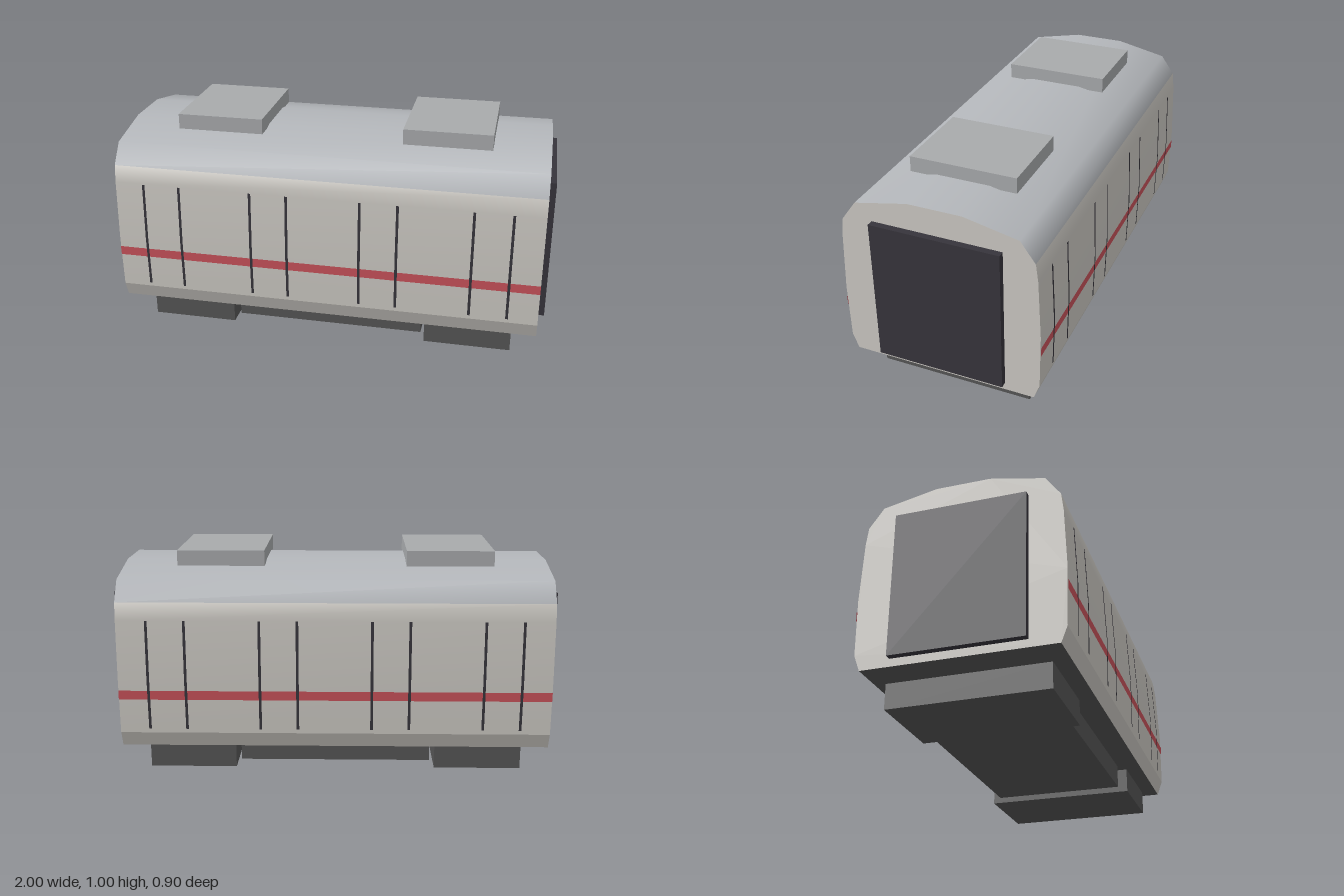
import * as THREE from 'three';

const mat = (name, color, side = THREE.FrontSide) => {
  const m = new THREE.MeshStandardMaterial({ color, side });
  m.name = name;
  return m;
};

// Half cross-section of the shell as [z, y], from floor edge to roof top
const HALF = [[0.417, 0.13], [0.443, 0.2], [0.447, 0.45], [0.435, 0.72], [0.425, 0.8], [0.36, 0.89], [0.12, 0.94]];
const mirrored = (pts) => [...pts, ...pts.slice().reverse().map(([z, y]) => [-z, y])];
const HALF_LENGTH = 0.97;

// Shell half-width at a given height
function widthAt(y) {
  const i = Math.max(1, HALF.findIndex((p) => p[1] >= y));
  const [z0, y0] = HALF[i - 1], [z1, y1] = HALF[i];
  return z0 + (z1 - z0) * (y - y0) / (y1 - y0);
}

// Smooth sheet: cross-section points swept along x
function sheet(points, x0, x1) {
  const pos = [], index = [];
  points.forEach(([z, y], i) => {
    pos.push(x0, y, z, x1, y, z);
    if (i) {
      const a = 2 * i - 2;
      index.push(a, a + 1, a + 3, a, a + 3, a + 2);
    }
  });
  const g = new THREE.BufferGeometry();
  g.setAttribute('position', new THREE.Float32BufferAttribute(pos, 3));
  g.setIndex(index);
  g.computeVertexNormals();
  return g;
}

export function createModel() {
  const model = new THREE.Group();
  model.name = 'railCar';
  const body = mat('bodyGrey', 0xcbc8c2, THREE.DoubleSide);
  const roof = mat('roofGrey', 0xb4b7bb, THREE.DoubleSide);
  const red = mat('stripeRed', 0xc9525a, THREE.DoubleSide);
  const dark = mat('darkTrim', 0x36343b, THREE.DoubleSide);
  const under = mat('undercarriageGrey', 0x555555, THREE.DoubleSide);
  const unit = mat('roofUnitGrey', 0xa8aaac);

  const add = (name, geometry, material) => {
    const mesh = new THREE.Mesh(geometry, material);
    mesh.name = name;
    model.add(mesh);
    return mesh;
  };
  const box = (name, material, x0, x1, y0, y1, halfZ) =>
    add(name, new THREE.BoxGeometry(x1 - x0, y1 - y0, 2 * halfZ), material)
      .position.set((x0 + x1) / 2, (y0 + y1) / 2, 0);

  // Side walls and roof share one smooth skin, coloured by groups
  const skin = sheet(mirrored(HALF.slice(1)), -HALF_LENGTH, HALF_LENGTH);
  skin.addGroup(0, 18, 0);
  skin.addGroup(18, 30, 1);
  skin.addGroup(48, 18, 0);
  add('wallsAndRoof', skin, [body, roof]);

  // Floor
  const z = HALF[0][0];
  add('floor', sheet([[-z, 0.13], [z, 0.13]], -HALF_LENGTH, HALF_LENGTH), under);

  // End walls and gangways
  const outline = new THREE.Shape(mirrored(HALF).map(([a, b]) => new THREE.Vector2(a, b)));
  for (const s of [-1, 1]) {
    const end = add('endWall', new THREE.ShapeGeometry(outline), body);
    end.rotation.y = s * Math.PI / 2;
    end.position.x = s * HALF_LENGTH;
    box('gangway', dark, s > 0 ? 0.965 : -1, s > 0 ? 1 : -0.965, 0.165, 0.82, 0.288);
  }

  // Ribbon lying on both side walls, slightly proud of them
  const ribbon = (name, material, x0, x1, y0, y1, proud) => {
    const ys = [y0, ...HALF.map((p) => p[1]).filter((y) => y > y0 && y < y1), y1];
    const g = sheet(ys.map((y) => [widthAt(y) + proud, y]), x0, x1);
    add(name, g, material);
    add(name, g, material).rotation.y = Math.PI;
  };

  // Sloped skirts, stripe and door seams
  ribbon('skirt', body, -HALF_LENGTH, HALF_LENGTH, 0.13, 0.2, 0);
  ribbon('stripe', red, -HALF_LENGTH, HALF_LENGTH, 0.358, 0.4, 0.003);
  for (const door of [-0.75, -0.25, 0.25, 0.75]) {
    for (const s of [-1, 1]) {
      const x = door + s * 0.084;
      ribbon('doorSeam', dark, x - 0.006, x + 0.006, 0.22, 0.72, 0.005);
    }
  }

  // Roof units, bogies and equipment box
  for (const s of [-1, 1]) {
    const span = (a, b) => (s > 0 ? [a, b] : [-b, -a]);
    box('roofUnit', unit, ...span(0.322, 0.718), 0.93, 1, 0.24);
    box('bogie', under, ...span(0.46, 0.858), 0, 0.113, 0.352);
  }
  box('equipmentBox', under, -0.44, 0.44, 0.02, 0.129, 0.31);

  return model;
}
